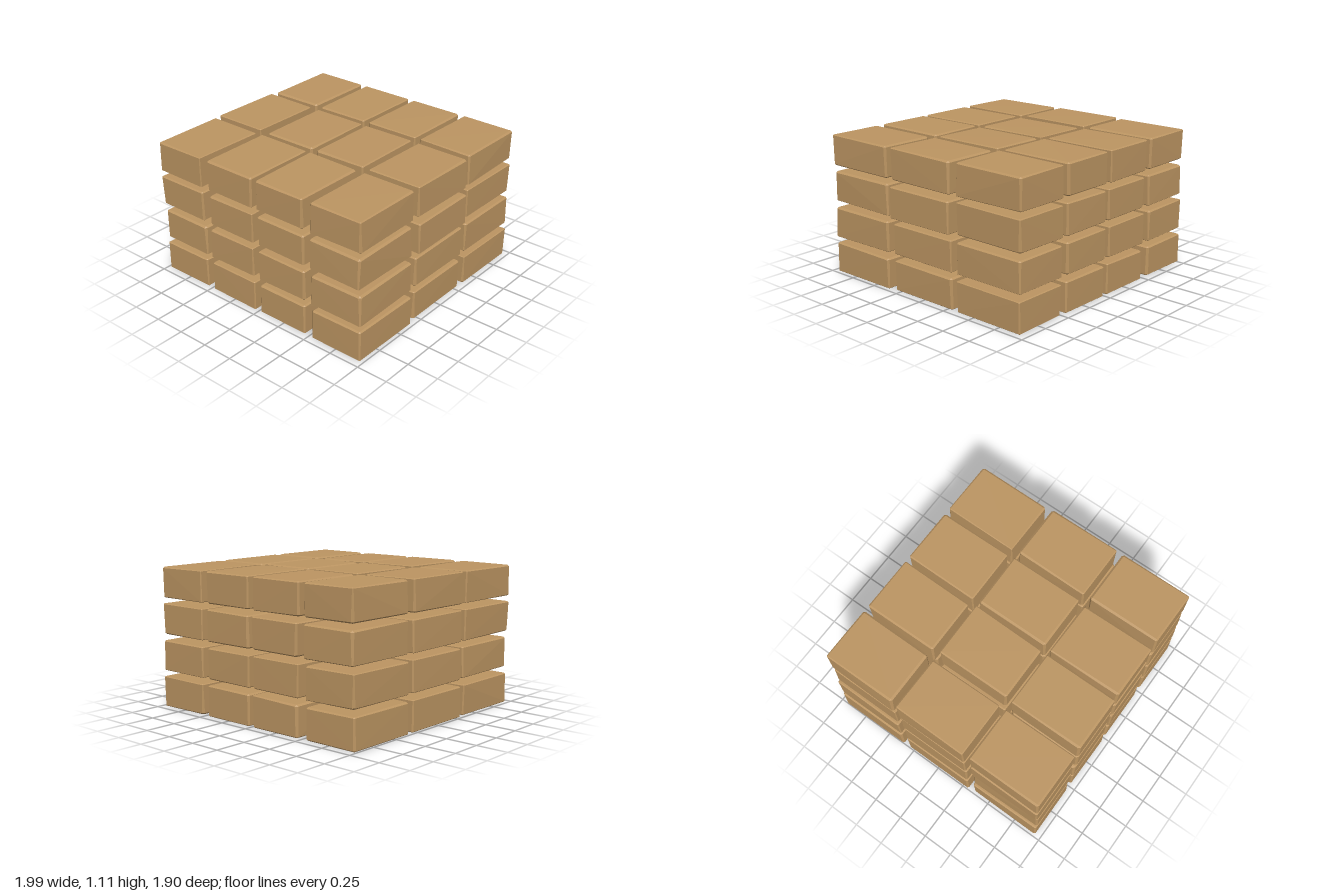
import * as THREE from 'three';
import { ConvexGeometry } from 'three/addons/geometries/ConvexGeometry.js';

// Seeded random in the range -1..1
function seeded(seed) {
  let s = seed;
  return () => {
    s = (s * 16807) % 2147483647;
    return (s / 2147483647) * 2 - 1;
  };
}

// Rough-hewn block: slightly uneven corners, each cut by a small irregular chamfer
function blockGeometry(w, h, d, rand) {
  const points = [];
  for (const sx of [-1, 1]) for (const sy of [-1, 1]) for (const sz of [-1, 1]) {
    const x = w / 2 - 0.004 + rand() * 0.004;
    const y = h / 2 - 0.002 + rand() * 0.002;
    const z = d / 2 - 0.002 + rand() * 0.002;
    const c = 0.012 + rand() * 0.006;
    points.push(
      new THREE.Vector3(sx * x, sy * (y - c * 0.7), sz * (z - c)),
      new THREE.Vector3(sx * (x - c), sy * y, sz * (z - c)),
      new THREE.Vector3(sx * (x - c), sy * (y - c * 0.7), sz * z)
    );
  }
  return new ConvexGeometry(points);
}

export function createModel() {
  const group = new THREE.Group();
  group.name = 'blockStack';
  const sandstone = new THREE.MeshStandardMaterial({ color: 0xbc9562 });
  sandstone.name = 'sandstone';
  const rand = seeded(4127);

  const layers = [0.125, 0.415, 0.705, 0.993]; // block centre heights
  const rows = [-0.65, 0, 0.65]; // back, middle, front
  const columns = [-0.762, -0.255, 0.242, 0.745];

  // Block centres along x where the courses are staggered, keyed by layer then row
  const shifts = {
    '0,2': [-0.755, -0.25, 0.245, 0.757],
    '1,2': [-0.742, -0.255, 0.245, 0.752],
    '2,2': [-0.76, -0.245, 0.245, 0.74],
    '2,1': [-0.762, -0.26, 0.255, 0.765],
    '3,0': [-0.76, -0.265, 0.232, 0.732],
    '3,1': [-0.77, -0.245, 0.245, 0.748],
    '3,2': [-0.76, -0.247, 0.237, 0.75],
  };

  layers.forEach((y, layer) => rows.forEach((z, row) => {
    const centres = shifts[`${layer},${row}`];
    columns.forEach((x, column) => {
      const bx = centres ? centres[column] : x + rand() * 0.012;
      const block = new THREE.Mesh(blockGeometry(0.456, 0.246, 0.602, rand), sandstone);
      block.name = `block_${layer + 1}_${row + 1}_${column + 1}`;
      block.position.set(bx, y, z);
      group.add(block);
    });
  }));

  return group;
}
